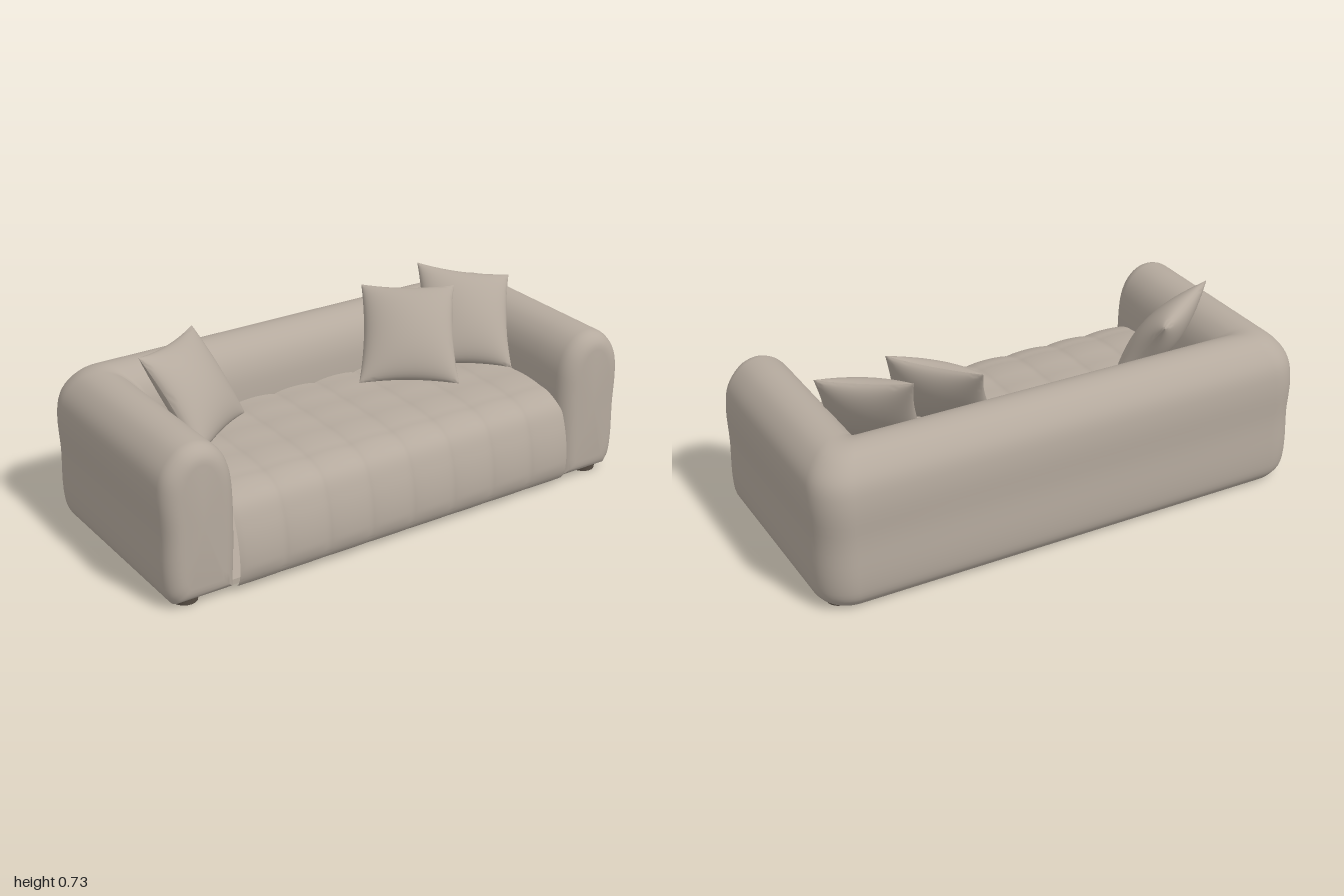
import * as THREE from 'three';
import { toCreasedNormals } from 'three/addons/utils/BufferGeometryUtils.js';

const fabric = new THREE.MeshStandardMaterial({ color: 0xb5aa9e });
fabric.name = 'fabric';
const darkFoot = new THREE.MeshStandardMaterial({ color: 0x5a5046 });
darkFoot.name = 'dark foot';

// Surface from a grid of points; the front faces du x dv.
function gridSurface(nu, nv, point, crease = 0.7) {
  const pos = [], idx = [];
  for (let i = 0; i <= nu; i++)
    for (let j = 0; j <= nv; j++) pos.push(...point(i, j));
  for (let i = 0; i < nu; i++)
    for (let j = 0; j < nv; j++) {
      const a = i * (nv + 1) + j, b = a + nv + 1;
      idx.push(a, b, a + 1, b, b + 1, a + 1);
    }
  const g = new THREE.BufferGeometry();
  g.setAttribute('position', new THREE.Float32BufferAttribute(pos, 3));
  g.setIndex(idx);
  return toCreasedNormals(g, crease);
}

function smoothProfile(points, n) {
  return new THREE.CatmullRomCurve3(points.map(([a, b]) => new THREE.Vector3(a, b, 0)), false, 'centripetal')
    .getPoints(n).map((p) => [p.x, p.y]);
}

// Arms and back: one padded roll swept round a U. Profile is [inset from outside, height].
function frameGeometry() {
  const profile = smoothProfile([
    [0.035, 0.015], [0.012, 0.05], [0.002, 0.12], [0.004, 0.28], [0, 0.42], [0.012, 0.5], [0.04, 0.55],
    [0.085, 0.59], [0.14, 0.604], [0.195, 0.59], [0.24, 0.55], [0.268, 0.49], [0.28, 0.4], [0.28, 0.2], [0.27, 0.015],
  ], 56);
  profile.push([0.035, 0.015]);
  const back = -0.475, radius = (o) => Math.max(0.13 - 0.5 * o, 0.025);
  const half = [];
  const arm = (z, so, sy) => half.push((o, y) => [1 - (0.14 + (o - 0.14) * so), 0.31 + (y - 0.31) * sy, z]);
  // Rounded front end
  arm(0.458, 0, 0);
  for (let k = 0; k <= 7; k++) {
    const a = (k / 7) * Math.PI / 2, d = 0.065 * (1 - Math.sin(a));
    arm(0.387 + 0.065 * Math.cos(a), 1 - d / 0.14, 1 - d / 0.3);
  }
  for (const z of [0.25, 0.1, -0.1]) arm(z, 1, 1);
  // Back corner
  for (let k = 0; k <= 10; k++) {
    const a = (k / 10) * Math.PI / 2;
    half.push((o, y) => {
      const r = radius(o);
      return [1 - o - r + r * Math.cos(a), y, back + o + r - r * Math.sin(a)];
    });
  }
  for (const x of [0.5, 0.25, 0]) half.push((o, y) => [x, y, back + o]);
  const mirrored = half.slice(0, -1).reverse().map((f) => (o, y) => {
    const [x, h, z] = f(o, y);
    return [-x, h, z];
  });
  const stations = [...half, ...mirrored];
  return gridSurface(stations.length - 1, profile.length - 1, (i, j) => stations[i](...profile[j]));
}

// Seat: profile [z, y] stretched across x, with padded channels.
function seatGeometry() {
  const profile = smoothProfile([
    [-0.25, 0.372], [0, 0.376], [0.25, 0.372], [0.35, 0.358], [0.41, 0.325], [0.445, 0.25],
    [0.464, 0.14], [0.458, 0.06], [0.435, 0.025], [0.4, 0.015], [0.1, 0.015], [-0.25, 0.015],
  ], 72);
  const n = 128, puff = (t, w) => Math.abs(Math.sin(Math.PI * t / w)) ** 0.6;
  return gridSurface(profile.length - 1, n, (i, j) => {
    const x = -0.73 + 1.46 * j / n, [z, y] = profile[i];
    const p = 0.011 * puff(x, 1.46 / 8);
    const top = (y / 0.375) ** 4, front = Math.max(0, z / 0.47) ** 4;
    return [x, y + top * (p + 0.004 * puff(z + 0.02, 0.16)), z + front * p * Math.min(1, y / 0.1)];
  }, 0.9);
}

// Throw pillow spanned by its corners: bottom left, bottom right, top left, top right.
function pillow(name, corners, thick) {
  const [bl, br, tl, tr] = corners.map((c) => new THREE.Vector3(...c));
  const normal = br.clone().sub(bl).cross(tl.clone().sub(bl)).normalize();
  const group = new THREE.Group();
  group.name = name;
  const n = 24;
  for (const side of [1, -1]) {
    const geo = gridSurface(n, n, (i, j) => {
      const a = side * Math.sin((i / n - 0.5) * Math.PI), b = Math.sin((j / n - 0.5) * Math.PI);
      // edges bow inward between the pointed corners
      const u = 0.5 + 0.5 * a * (1 - 0.08 * (1 - b * b)), v = 0.5 + 0.5 * b * (1 - 0.08 * (1 - a * a));
      const p = bl.clone().lerp(br, u).lerp(tl.clone().lerp(tr, u), v);
      const h = Math.max(0, (1 - a * a) * (1 - b * b)) ** 0.5;
      return p.addScaledVector(normal, side * thick * h).toArray();
    }, 0.9);
    const m = new THREE.Mesh(geo, fabric);
    m.name = side > 0 ? 'pillowFront' : 'pillowBack';
    group.add(m);
  }
  return group;
}

export function createModel() {
  const sofa = new THREE.Group();
  sofa.name = 'sofa';
  const add = (name, geo, mat, x = 0, y = 0, z = 0) => {
    const m = new THREE.Mesh(geo, mat);
    m.name = name;
    m.position.set(x, y, z);
    sofa.add(m);
  };

  add('armsAndBack', frameGeometry(), fabric);
  add('seat', seatGeometry(), fabric);

  // Underside panel with its edge strips
  add('basePanel', new THREE.BoxGeometry(1.52, 0.02, 0.68), fabric, 0, 0.022, 0.06);
  for (const s of [-1, 1]) {
    add('baseStripLong', new THREE.BoxGeometry(1.46, 0.006, 0.02), fabric, 0, 0.011, 0.06 + s * 0.32);
    add('baseStripShort', new THREE.BoxGeometry(0.02, 0.006, 0.66), fabric, s * 0.73, 0.011, 0.06);
  }

  // Feet
  for (const x of [-0.9, 0.9])
    for (const z of [0.37, -0.355])
      add('foot', new THREE.CylinderGeometry(0.05, 0.046, 0.03, 24), darkFoot, x, 0.015, z);

  // Throw pillows leaning into the corners
  sofa.add(pillow('rightPillow', [
    [-0.69, 0.385, 0.13], [-0.375, 0.39, -0.09], [-0.81, 0.725, -0.07], [-0.475, 0.695, -0.29],
  ], 0.075));
  const left = [[0.125, 0.39, -0.07], [0.45, 0.385, 0.14], [0.28, 0.695, -0.285], [0.54, 0.72, -0.03]];
  sofa.add(pillow('leftInnerPillow', left, 0.075));
  sofa.add(pillow('leftOuterPillow', [
    [0.42, 0.39, -0.07], [0.715, 0.385, 0.13], [0.55, 0.73, -0.285], [0.82, 0.7, -0.04],
  ], 0.075));
  return sofa;
}
